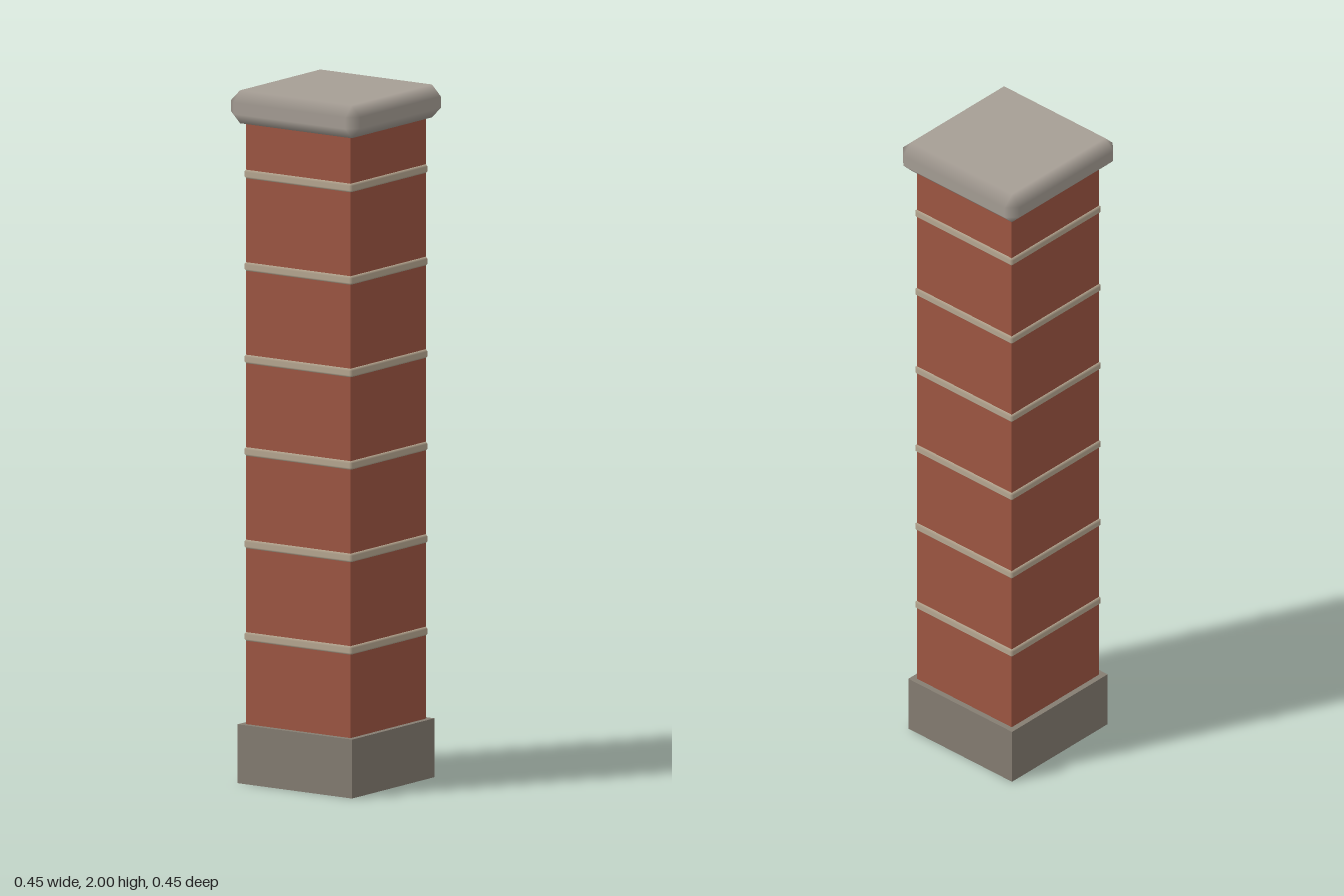
import * as THREE from 'three';
import { ConvexGeometry } from 'three/addons/geometries/ConvexGeometry.js';

const brick = new THREE.MeshStandardMaterial({ color: 0x9e5642, side: THREE.DoubleSide });
const plinthStone = new THREE.MeshStandardMaterial({ color: 0x857d72, side: THREE.DoubleSide });
const mortar = new THREE.MeshStandardMaterial({ color: 0xb8a892 });
const capStone = new THREE.MeshStandardMaterial({ color: 0xa69e95 });

// Box standing on y = 0 with its bottom face left out
function openBox(width, height) {
  const geo = new THREE.BoxGeometry(width, height, width);
  geo.translate(0, height / 2, 0);
  const index = Array.from(geo.index.array);
  index.splice(18, 6);
  geo.setIndex(index);
  geo.clearGroups();
  return geo;
}

// Box with chamfered edges, shaded softly between its flat faces
function chamferedBox(width, height, depth, bevel) {
  const half = [width / 2, height / 2, depth / 2];
  const points = [];
  for (let axis = 0; axis < 3; axis++) {
    for (const sx of [-1, 1]) for (const sy of [-1, 1]) for (const sz of [-1, 1]) {
      const p = [sx, sy, sz].map((s, i) => s * (half[i] - (i === axis ? 0 : bevel)));
      points.push(new THREE.Vector3(...p));
    }
  }
  const geo = new ConvexGeometry(points);
  const pos = geo.attributes.position;
  for (let i = 0; i < pos.count; i++) {
    const p = [pos.getX(i), pos.getY(i), pos.getZ(i)];
    // Each corner takes the normal of the flat face it lies on
    const n = p.map((v, a) => (Math.abs(Math.abs(v) - half[a]) < 1e-4 ? Math.sign(v) : 0));
    geo.attributes.normal.setXYZ(i, ...n);
  }
  return geo;
}

export function createModel() {
  const group = new THREE.Group();
  const add = (name, geo, material, y = 0) => {
    const mesh = new THREE.Mesh(geo, material);
    mesh.name = name;
    mesh.position.y = y;
    group.add(mesh);
  };

  // Hollow plinth and the brick shaft rising through it
  add('plinth', openBox(0.4, 0.17), plinthStone);
  add('shaft', openBox(0.366, 1.92), brick);

  // Evenly spaced mortar bands
  const bandGeo = chamferedBox(0.378, 0.027, 0.378, 0.007);
  for (let i = 0; i < 6; i++) add(`mortarBand${i + 1}`, bandGeo, mortar, 0.423 + i * 0.267);

  // Overhanging coping stone
  add('cap', chamferedBox(0.452, 0.095, 0.452, 0.031), capStone, 1.9525);

  return group;
}
